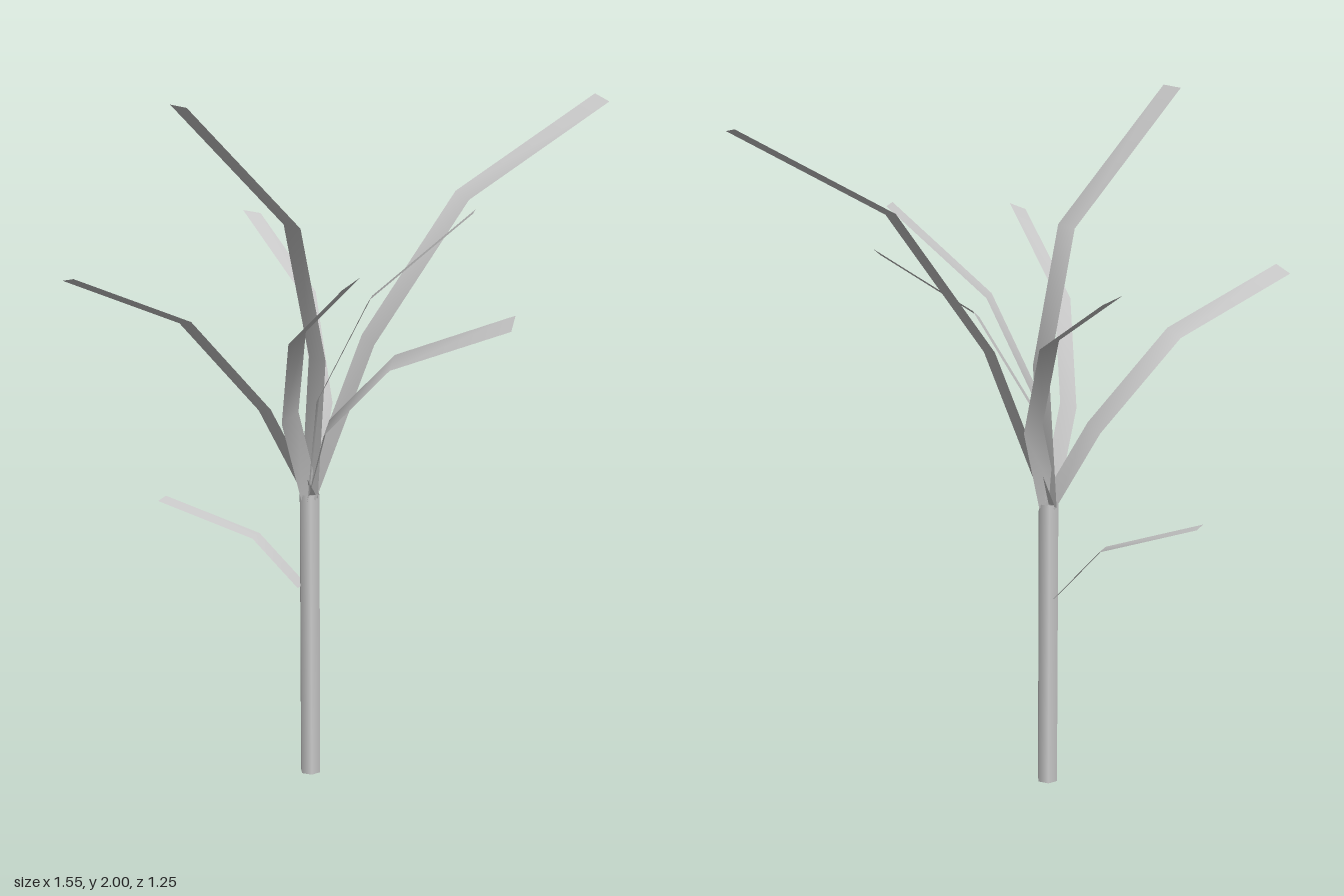
import * as THREE from 'three';

const material = new THREE.MeshStandardMaterial({ color: 0xcccccc, side: THREE.DoubleSide });

// Flat strip: a centre line swept with one constant cross vector.
function ribbon(name, points, cross) {
  const half = new THREE.Vector3(...cross).multiplyScalar(0.5);
  const positions = [], index = [];
  points.forEach((p, i) => {
    const c = new THREE.Vector3(...p);
    positions.push(...c.clone().sub(half).toArray(), ...c.clone().add(half).toArray());
    if (i > 0) {
      const a = 2 * i - 2;
      index.push(a, a + 1, a + 3, a, a + 3, a + 2);
    }
  });
  const geometry = new THREE.BufferGeometry();
  geometry.setAttribute('position', new THREE.Float32BufferAttribute(positions, 3));
  geometry.setIndex(index);
  geometry.computeVertexNormals();
  const mesh = new THREE.Mesh(geometry, material);
  mesh.name = name;
  return mesh;
}

export function createModel() {
  const model = new THREE.Group();
  model.name = 'plant';

  // Hollow trunk
  const height = 0.855;
  const trunk = new THREE.Mesh(new THREE.CylinderGeometry(0.031, 0.031, height, 6, 1, true), material);
  trunk.name = 'trunk';
  trunk.position.set(-0.098, height / 2, -0.031);
  model.add(trunk);

  // Crown leaves: joints after the shared root, then the width vector
  const root = [-0.098, 0.85, -0.031];
  const leaves = {
    leftLeaf: [[[0.07, 1.3, -0.035], [0.34, 1.7, -0.073], [0.76, 1.953, -0.197]], [0.027, -0.015, 0.07]],
    tallLeaf: [[[-0.075, 1.25, -0.03], [-0.15, 1.64, 0.035], [-0.465, 2, 0.232]], [0.04, 0, 0.071]],
    rightLeaf: [[[-0.22, 1.09, -0.088], [-0.443, 1.355, -0.068], [-0.766, 1.508, 0.05]], [0.03, 0.016, 0.06]],
    frontLeaf: [[[-0.163, 1.11, 0.085], [-0.162, 1.385, 0.296], [-0.052, 1.593, 0.604]], [0.05, 0.025, -0.033]],
    frontLeftLeaf: [[[-0.066, 1.09, 0.13], [0.088, 1.322, 0.344], [0.375, 1.468, 0.555]], [0.021, 0.03, -0.056]],
    innerLeaf: [[[-0.075, 1.14, 0], [0.065, 1.44, 0.06], [0.34, 1.69, 0.135]], [0.018, 0, -0.067]],
    backLeaf: [[[-0.047, 1.1, -0.125], [-0.075, 1.388, -0.32], [-0.212, 1.573, -0.61]], [0.055, -0.016, -0.035]],
  };
  for (const [name, [joints, cross]] of Object.entries(leaves)) {
    model.add(ribbon(name, [root, ...joints], cross));
  }

  // Small leaf on the side of the trunk
  model.add(ribbon('lowerLeaf',
    [[-0.122, 0.575, -0.04], [-0.25, 0.722, -0.065], [-0.515, 0.815, -0.163]], [0.025, 0, -0.051]));

  return model;
}
